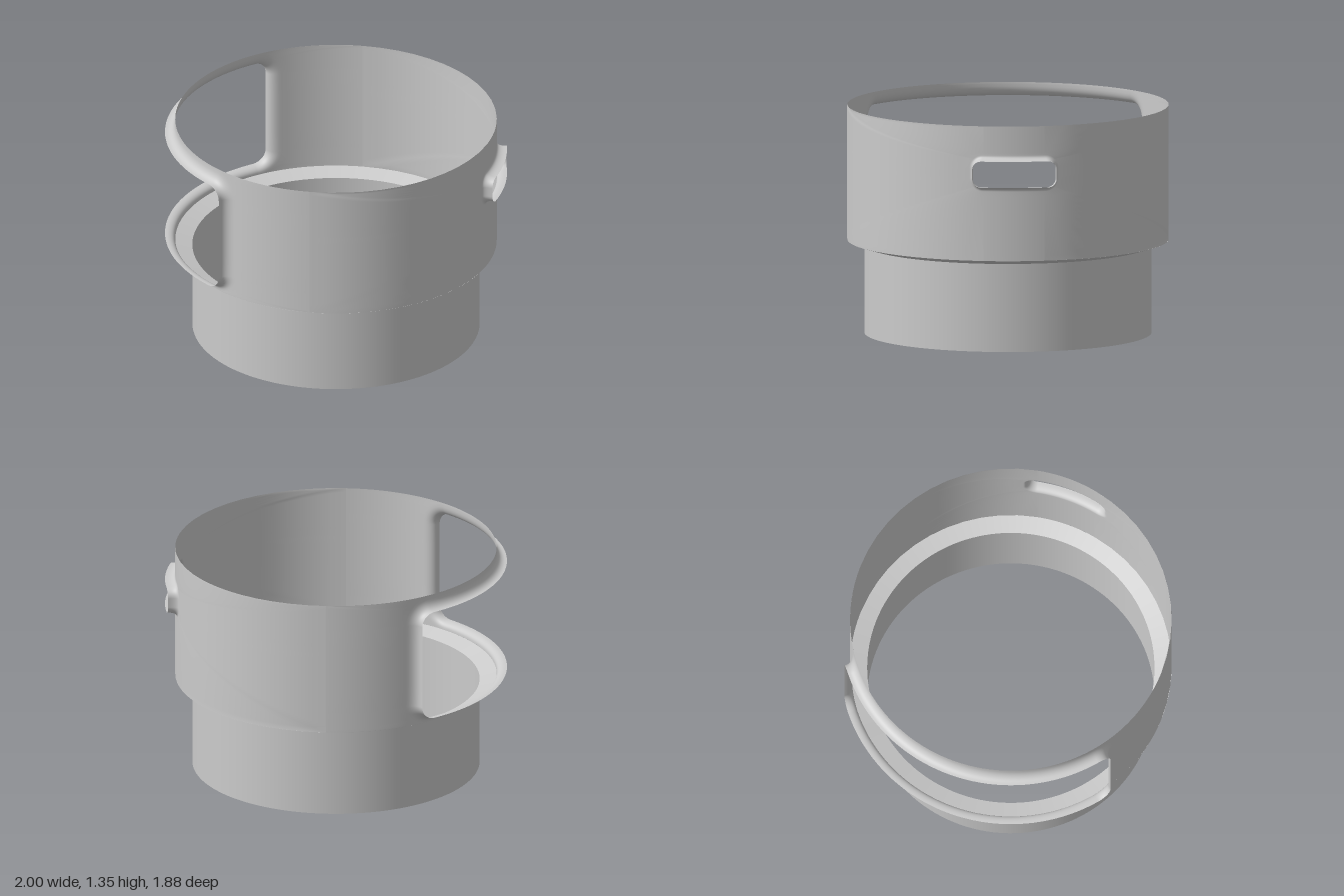
import * as THREE from 'three';

const R = 0.94, LOWER_R = 0.84;         // upper and lower sleeve radii
const TOP = 1.345, SHOULDER = 0.55;     // upper sleeve extent
const LIP = 0.06;                       // how far the opening lips flare outward

const material = new THREE.MeshStandardMaterial({ color: 0xcccccc, side: THREE.DoubleSide });

// Half of the upper sleeve with a rounded opening whose edge flares outward.
// u runs around the sleeve (arc length), v is height.
function sleeveHalf({ name, facing, halfWidth, bottom, top, corner, flare, flareBelow }) {
  const U = R * Math.PI / 2, n = 12;
  const cu = halfWidth - corner;
  const centres = [[cu, top - corner], [-cu, top - corner], [-cu, bottom + corner], [cu, bottom + corner]];

  // Outline samples: a centre and an outward direction each
  const outline = [];
  centres.forEach((c, q) => {
    for (let k = 0; k <= 2 * n; k++) {
      const a = q * Math.PI / 2 + (k <= n ? Math.atan(k / n) : Math.PI / 2 - Math.atan((2 * n - k) / n));
      outline.push({ c, d: [Math.cos(a), Math.sin(a)] });
    }
    const next = centres[(q + 1) % 4], steps = q % 2 ? 4 : 40;
    const d = outline[outline.length - 1].d;
    for (let k = 1; k < steps; k++) {
      const t = k / steps;
      outline.push({ c: [c[0] + (next[0] - c[0]) * t, c[1] + (next[1] - c[1]) * t], d });
    }
  });

  const ringPoint = ({ c, d }, x) => [
    c[0] + d[0] * (corner + flare * x),
    c[1] + d[1] * (corner + (d[1] < 0 ? flareBelow : flare) * x),
  ];
  const borderPoint = ({ c, d }) => {
    const m = Math.max(Math.abs(d[0]), Math.abs(d[1]));
    return [
      c[0] + d[0] / m * (U - Math.abs(c[0])),
      c[1] + d[1] / m * (d[1] > 0 ? TOP - c[1] : c[1] - SHOULDER),
    ];
  };

  const positions = [], indices = [];
  const add = ([u, v], r) => {
    const a = facing + u / R;
    positions.push(r * Math.cos(a), v, -r * Math.sin(a));
  };
  const LIP_STEPS = 10, WALL_STEPS = 14;
  // Flared lip
  for (let j = 0; j <= LIP_STEPS; j++) {
    const t = j / LIP_STEPS * Math.PI / 2;
    const x = 1 - Math.pow(Math.max(0, Math.cos(t)), 0.85);
    const h = LIP * (1 - Math.pow(Math.sin(t), 0.85));
    outline.forEach(p => add(ringPoint(p, x), R + h));
  }
  // Plain wall out to the border of this half
  for (let j = 1; j <= WALL_STEPS; j++) {
    const t = j / WALL_STEPS;
    outline.forEach(p => {
      const a = ringPoint(p, 1), b = borderPoint(p);
      add([a[0] + (b[0] - a[0]) * t, a[1] + (b[1] - a[1]) * t], R);
    });
  }
  const count = outline.length;
  for (let j = 0; j < LIP_STEPS + WALL_STEPS; j++) {
    for (let i = 0; i < count; i++) {
      const k = (i + 1) % count;
      const a = j * count + i, b = a + count, c = (j + 1) * count + k, d = j * count + k;
      indices.push(a, b, c, a, c, d);
    }
  }
  const geometry = new THREE.BufferGeometry();
  geometry.setAttribute('position', new THREE.Float32BufferAttribute(positions, 3));
  geometry.setIndex(indices);
  geometry.computeVertexNormals();
  const mesh = new THREE.Mesh(geometry, material);
  mesh.name = name;
  return mesh;
}

// Thin turned band between two radius/height points
function band(name, r0, y0, r1, y1) {
  const profile = [new THREE.Vector2(r0, y0), new THREE.Vector2(r1, y1)];
  const mesh = new THREE.Mesh(new THREE.LatheGeometry(profile, 128), material);
  mesh.name = name;
  return mesh;
}

export function createModel() {
  const group = new THREE.Group();
  group.name = 'slottedSleeve';

  group.add(band('lowerSleeve', LOWER_R, 0, LOWER_R, 0.52));
  group.add(band('shoulder', LOWER_R, 0.52, R, SHOULDER));

  // Large window on the -x side
  group.add(sleeveHalf({
    name: 'windowHalf', facing: Math.PI, halfWidth: 0.922,
    bottom: 0.595, top: 1.26, corner: 0.08, flare: 0.075, flareBelow: 0.042,
  }));

  // Small slot on the +x side
  group.add(sleeveHalf({
    name: 'slotHalf', facing: 0, halfWidth: 0.235,
    bottom: 0.99, top: 1.145, corner: 0.05, flare: 0.03, flareBelow: 0.03,
  }));

  return group;
}
